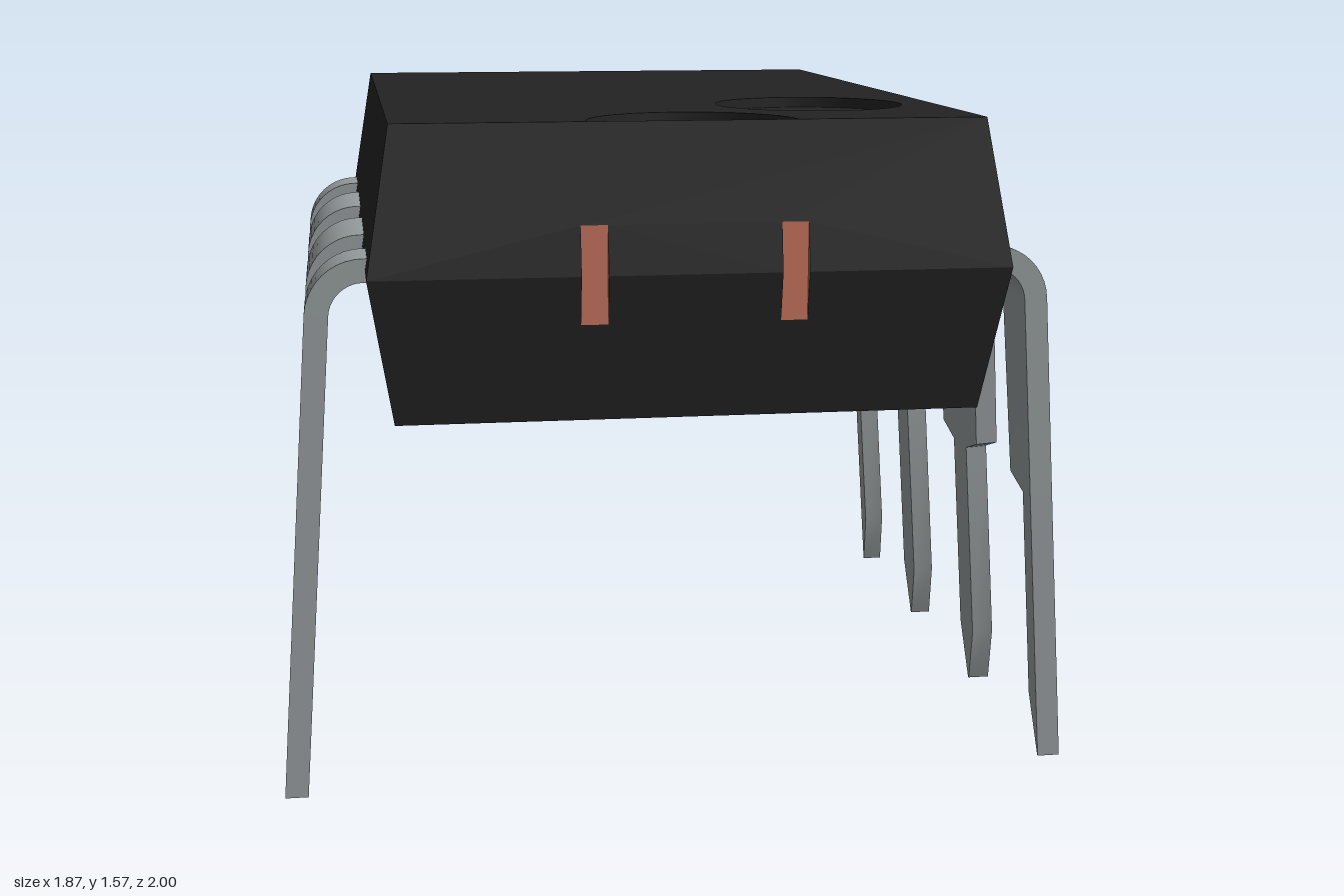
import * as THREE from 'three';
import { toCreasedNormals } from 'three/addons/utils/BufferGeometryUtils.js';

const MID = 1.238, HALF_H = 0.332, TOP = MID + HALF_H;
const HALF_X = 0.72, HALF_Z = 1, INSET = 0.055;
const SLOT_W = 0.03, SLOT_H = 0.11;

const material = (name, color, side = THREE.FrontSide) => {
  const m = new THREE.MeshStandardMaterial({ color, side });
  m.name = name;
  return m;
};

export function createModel() {
  const model = new THREE.Group();
  model.name = 'dualInlineChip';
  const black = material('blackResin', 0x232323, THREE.DoubleSide);
  const metal = material('greyMetal', 0x979d9f);
  const copper = material('copper', 0xc4725c, THREE.DoubleSide);

  const add = (name, geometry, mat, parent = model) => {
    const mesh = new THREE.Mesh(geometry, mat);
    mesh.name = name;
    parent.add(mesh);
    return mesh;
  };

  // Half of a tapered wall, with slots cut in its edge at mid height
  const wall = (name, halfWidth, depth, up, angle, mat, slots = []) => {
    const pts = [[-halfWidth, 0]];
    for (const x of slots) {
      pts.push([x - SLOT_W, 0], [x - SLOT_W, SLOT_H], [x + SLOT_W, SLOT_H], [x + SLOT_W, 0]);
    }
    pts.push([halfWidth, 0], [halfWidth - INSET, HALF_H], [INSET - halfWidth, HALF_H]);
    const shape = new THREE.Shape(pts.map(([x, y]) => new THREE.Vector2(x, MID + up * y)));
    const g = new THREE.ShapeGeometry(shape);
    const p = g.attributes.position;
    for (let i = 0; i < p.count; i++) {
      p.setZ(i, depth - INSET * Math.abs(p.getY(i) - MID) / HALF_H);
    }
    g.computeVertexNormals();
    add(name, g.rotateY(angle), mat);
  };
  for (const up of [1, -1]) {
    const half = up > 0 ? 'Upper' : 'Lower';
    wall('front' + half, HALF_X, HALF_Z, up, 0, black, [-0.224, 0.224]);
    wall('back' + half, HALF_X, HALF_Z, up, Math.PI, up > 0 ? metal : black, [0]);
    wall('left' + half, HALF_Z, HALF_X, up, Math.PI / 2, black);
    wall('right' + half, HALF_Z, HALF_X, up, -Math.PI / 2, black);
  }

  // Top face with a round dimple and a half-round notch
  const tx = HALF_X - INSET, tz = HALF_Z - INSET;
  const top = new THREE.Shape([[-tx, -tz], [tx, -tz], [tx, tz], [-tx, tz]].map(([x, y]) => new THREE.Vector2(x, y)));
  const recesses = [
    { name: 'dimple', x: 0.36, z: 0.495, r: 0.225, depth: 0.025, arc: Math.PI * 2 },
    { name: 'notch', x: 0, z: 0.944, r: 0.235, depth: 0.06, arc: Math.PI },
  ];
  for (const { name, x, z, r, depth, arc } of recesses) {
    const hole = new THREE.Path();
    hole.absarc(x, -z, r, 0, arc, false);
    top.holes.push(hole);
    add(name + 'Wall', new THREE.CylinderGeometry(r, r, depth, 48, 1, true, Math.PI / 2, arc), black)
      .position.set(x, TOP - depth / 2, z);
    add(name + 'Floor', new THREE.CircleGeometry(r, 48, 0, arc).rotateX(-Math.PI / 2), black)
      .position.set(x, TOP - depth, z);
  }
  add('topFace', new THREE.ShapeGeometry(top, 24).rotateX(-Math.PI / 2), black).position.y = TOP;
  add('bottomFace', new THREE.PlaneGeometry(tx * 2, tz * 2).rotateX(Math.PI / 2), black).position.y = MID - HALF_H;

  // Copper tie bar ends inside the slots
  const slotDepth = INSET * SLOT_H / HALF_H;
  const cheek = new THREE.Shape([[0, -SLOT_H], [slotDepth, 0], [0, SLOT_H]].map(([x, y]) => new THREE.Vector2(x, y)));
  const tieBar = (x, back) => {
    const g = new THREE.Group();
    g.name = 'tieBar';
    add('tieBarFace', new THREE.PlaneGeometry(SLOT_W * 2, SLOT_H * 2), copper, g);
    for (const s of [-1, 1]) {
      add('slotCheek', new THREE.ShapeGeometry(cheek).rotateY(-Math.PI / 2), copper, g).position.x = s * SLOT_W;
    }
    g.position.set(x, MID, (back ? -1 : 1) * (HALF_Z - slotDepth));
    if (back) g.rotation.y = Math.PI;
    model.add(g);
  };
  tieBar(-0.224, false);
  tieBar(0.224, false);
  tieBar(0, true);

  // Pin centre line: x, y, angle of the outward normal, half width
  const T = 0.027, BEND = 0.107, BX = 0.724, BY = 1.131, LEAN = 0.07;
  const stations = [[0.7, MID, Math.PI / 2, 0.165]];
  for (let i = 0; i <= 10; i++) {
    const a = Math.PI / 2 + (LEAN - Math.PI / 2) * i / 10;
    stations.push([BX + BEND * Math.cos(a), BY + BEND * Math.sin(a), a, 0.165 - 0.003 * i / 10]);
  }
  for (const [y, h] of [[0.69, 0.145], [0.66, 0.054], [0.15, 0.054], [0.002, 0.003]]) {
    stations.push([0.91 - 0.079 * y / BY, y, LEAN, h]);
  }

  // Loft of rectangles along the centre line; lo and hi choose the kept halves
  const pinGeometry = (lo, hi) => {
    const pos = [], index = [];
    stations.forEach(([x, y, a, h], k) => {
      // Keep the foot level
      const n = k === stations.length - 1 ? 0 : Math.sin(a);
      const dx = Math.cos(a) * T, dy = n * T;
      pos.push(x + dx, y + dy, -h * lo, x + dx, y + dy, h * hi, x - dx, y - dy, h * hi, x - dx, y - dy, -h * lo);
      if (k === 0) return;
      for (let j = 0; j < 4; j++) {
        const a0 = (k - 1) * 4 + j, b0 = (k - 1) * 4 + (j + 1) % 4;
        index.push(a0, b0, b0 + 4, a0, b0 + 4, a0 + 4);
      }
    });
    const e = (stations.length - 1) * 4;
    index.push(e, e + 1, e + 2, e, e + 2, e + 3);
    const g = new THREE.BufferGeometry();
    g.setAttribute('position', new THREE.Float32BufferAttribute(pos, 3));
    g.setIndex(index);
    return toCreasedNormals(g, 0.5);
  };

  // Two full pins between two half pins on each side
  for (const [name, angle] of [['leftPins', 0], ['rightPins', Math.PI]]) {
    const row = new THREE.Group();
    row.name = name;
    for (const [z, lo, hi] of [[-0.845, 0, 1], [-0.283, 1, 1], [0.283, 1, 1], [0.845, 1, 0]]) {
      add('pin', pinGeometry(lo, hi), metal, row).position.z = z;
    }
    row.rotation.y = angle;
    model.add(row);
  }
  return model;
}
